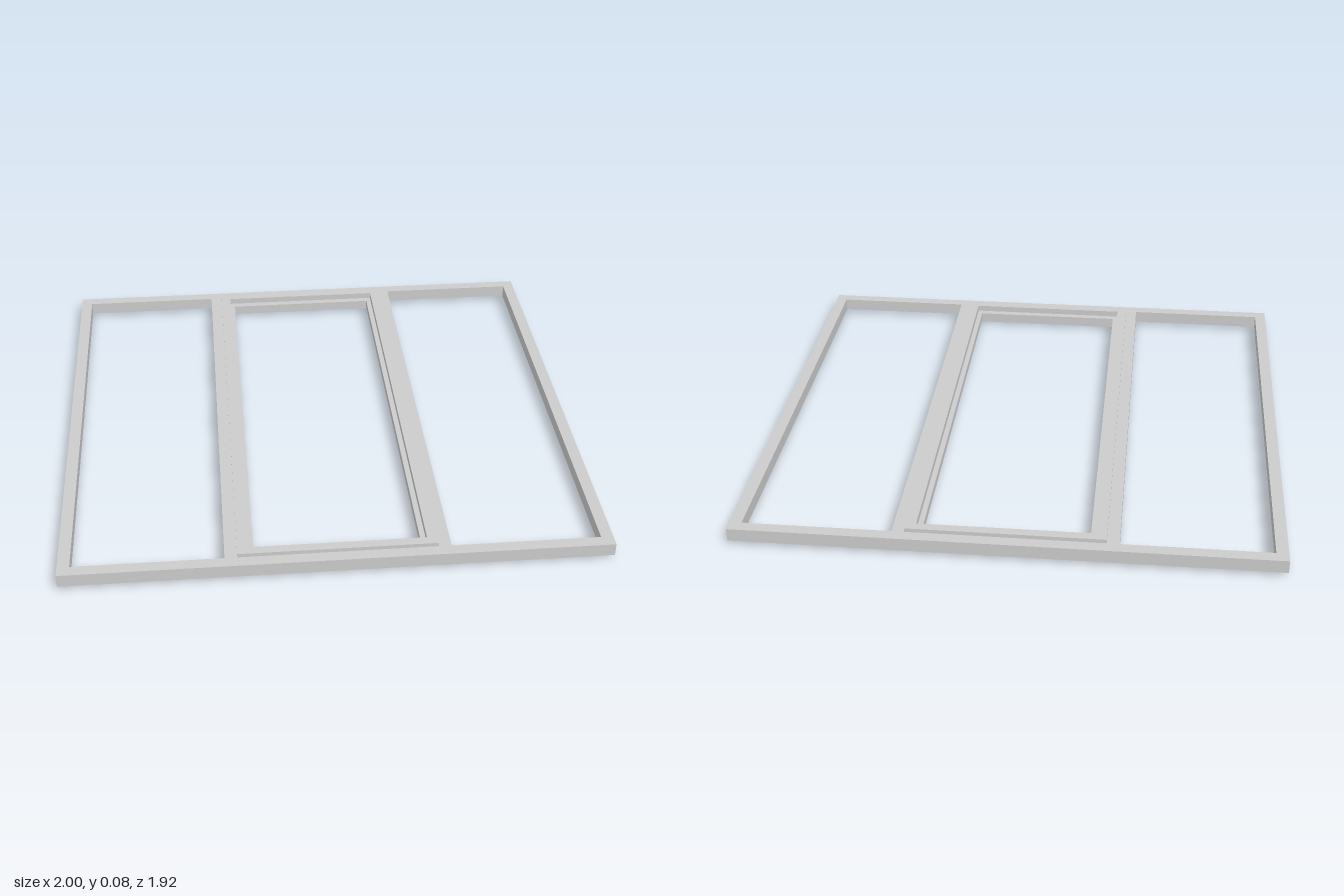
import * as THREE from 'three';

const material = new THREE.MeshStandardMaterial({ color: 0xcccccc });

// Rectangle outline in plan, half sizes x and z
function rect(target, x0, x1, z) {
  target.moveTo(x0, -z);
  target.lineTo(x1, -z);
  target.lineTo(x1, z);
  target.lineTo(x0, z);
  target.closePath();
  return target;
}

// Flat frame with rectangular openings, extruded from y0 up to y1
function frame(name, halfX, halfZ, openings, y0, y1) {
  const shape = rect(new THREE.Shape(), -halfX, halfX, halfZ);
  for (const [x0, x1, z] of openings) shape.holes.push(rect(new THREE.Path(), x0, x1, z));
  const geometry = new THREE.ExtrudeGeometry(shape, { depth: y1 - y0, bevelEnabled: false });
  geometry.rotateX(-Math.PI / 2);
  geometry.translate(0, y0, 0);
  const mesh = new THREE.Mesh(geometry, material);
  mesh.name = name;
  return mesh;
}

export function createModel() {
  const group = new THREE.Group();
  group.name = 'windowFrame';

  // Outer frame with two mullions: three openings
  group.add(frame('outerFrame', 1, 0.96, [
    [-0.955, -0.408, 0.915],
    [-0.362, 0.362, 0.915],
    [0.408, 0.955, 0.915],
  ], 0.015, 0.065));

  // Centre sash, standing proud of the frame above and below
  group.add(frame('centreSash', 0.362, 0.915, [[-0.323, 0.323, 0.88]], 0, 0.08));

  // Thin recessed bead inside the sash
  group.add(frame('sashBead', 0.323, 0.88, [[-0.303, 0.303, 0.853]], 0.025, 0.055));

  return group;
}
